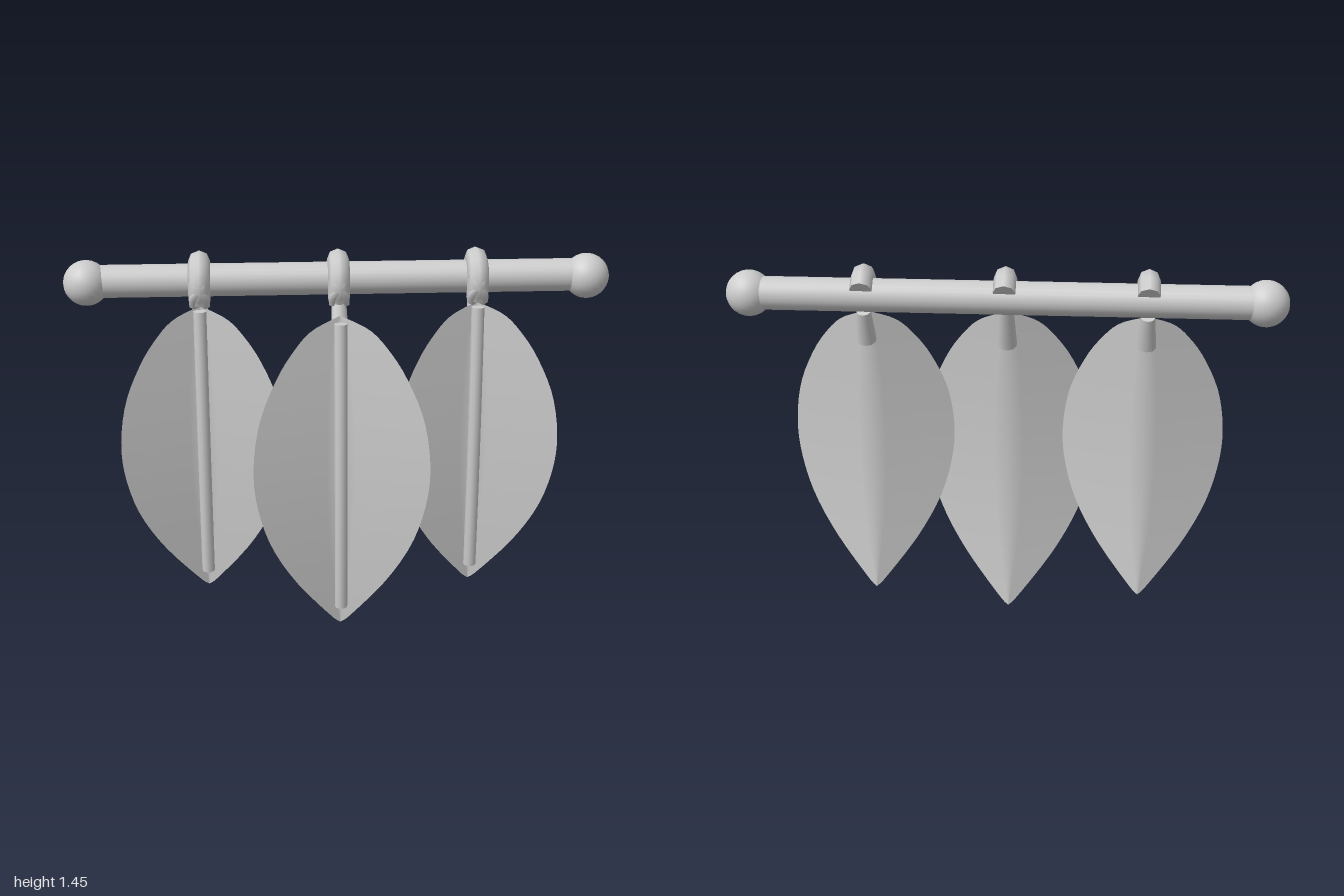
import * as THREE from 'three';

const grey = new THREE.MeshStandardMaterial({ color: 0xcccccc });
grey.name = 'pale grey';
const sheet = new THREE.MeshStandardMaterial({ color: 0xcccccc, side: THREE.DoubleSide });
sheet.name = 'pale grey leaf';

const ROD_Y = 1.34, ROD_Z = -0.1;
const V = (x, y, z) => new THREE.Vector3(x, y, z);

function add(parent, name, geometry, material = grey) {
  const mesh = new THREE.Mesh(geometry, material);
  mesh.name = name;
  parent.add(mesh);
  return mesh;
}

// Straight cylinder between two points
function strut(parent, name, a, b, rTop, rBottom, sides = 10) {
  const mesh = add(parent, name, new THREE.CylinderGeometry(rTop, rBottom, a.distanceTo(b), sides));
  mesh.position.copy(a).add(b).multiplyScalar(0.5);
  mesh.quaternion.setFromUnitVectors(V(0, 1, 0), a.clone().sub(b).normalize());
  return mesh;
}

// Tube with both ends closed
function rope(parent, name, points, radius, segments = 20, sides = 8) {
  const curve = new THREE.CatmullRomCurve3(points);
  add(parent, name, new THREE.TubeGeometry(curve, segments, radius, sides));
  for (const t of [0, 1]) {
    const cap = add(parent, name + 'Cap', new THREE.CircleGeometry(radius, sides));
    cap.position.copy(curve.getPoint(t));
    cap.quaternion.setFromUnitVectors(V(0, 0, 1), curve.getTangent(t).multiplyScalar(t ? 1 : -1));
  }
}

// Leaf half width along its length, tip to top
const outline = new THREE.SplineCurve([
  [0, 0], [0.03, 0.12], [0.17, 0.53], [0.31, 0.82], [0.45, 0.97], [0.575, 1],
  [0.71, 0.92], [0.83, 0.73], [0.91, 0.53], [0.965, 0.32], [1, 0],
].map(([t, w]) => new THREE.Vector2(t, w)));

// Folded leaf: a V section whose edges reach forward
function leafGeometry({ bottom, top, half, fold, mid }) {
  const rows = 36, cols = 12;
  const geometry = new THREE.PlaneGeometry(2, 1, cols, rows);
  const p = geometry.attributes.position;
  for (let i = 0; i < p.count; i++) {
    const c = outline.getPoint(p.getY(i) + 0.5);
    const x = p.getX(i) * half * Math.max(c.y, 0);
    p.setXYZ(i, x, bottom + (top - bottom) * c.x, mid(c.x) + fold * Math.abs(x));
  }
  geometry.computeVertexNormals();
  return geometry;
}

function createPendant(name, x, leaf, stemTop, stemBottom) {
  const group = new THREE.Group();
  group.name = name;
  group.position.x = x;
  add(group, 'leaf', leafGeometry(leaf), sheet);

  // Midrib lying in the fold
  const ribPoints = [];
  for (let i = 0; i <= 6; i++) {
    const y = THREE.MathUtils.lerp(leaf.ribBottom, leaf.ribTop, i / 6);
    const t = (y - leaf.bottom) / (leaf.top - leaf.bottom);
    ribPoints.push(V(0, y, leaf.mid(t) + 0.035));
  }
  rope(group, 'midrib', ribPoints, 0.024, 24, 10);

  // Loop hooked over the rod
  rope(group, 'loop', [
    V(0, 1.375, -0.158), V(0, 1.412, -0.105), V(0, 1.385, -0.04),
    V(0, 1.33, -0.022), V(0, 1.28, -0.04),
  ], 0.04, 10, 8);

  // Crossed strands of the knot
  for (const s of [-1, 1]) {
    rope(group, 'knotStrand', [
      V(s * 0.02, 1.37, -0.025), V(s * 0.006, 1.335, -0.004), V(-s * 0.018, 1.3, -0.012), V(-s * 0.02, 1.265, -0.035),
    ], 0.02, 10, 6);
  }

  // Stem between knot and leaf
  strut(group, 'stem', stemTop, stemBottom, 0.026, 0.036);
  return group;
}

export function createModel() {
  const model = new THREE.Group();
  model.name = 'leafHanging';

  // Rod with ball ends
  strut(model, 'rod', V(0.9, ROD_Y, ROD_Z - 0.003), V(-0.9, ROD_Y, ROD_Z - 0.003), 0.06, 0.06, 24);
  for (const s of [-1, 1]) {
    add(model, 'rodEnd', new THREE.SphereGeometry(0.083, 24, 16)).position.set(s * 0.917, ROD_Y - 0.003, ROD_Z + 0.003);
  }

  // Outer pendants
  const outer = {
    bottom: 0.13, top: 1.26, half: 0.3, fold: 0.36, ribBottom: 0.21, ribTop: 1.25,
    mid: t => -0.042 + 0.016 * Math.sin(Math.PI * t),
  };
  for (const s of [-1, 1]) {
    model.add(createPendant(s > 0 ? 'leftPendant' : 'rightPendant', s * 0.506, outer,
      V(0, 1.28, -0.105), V(0, 1.155, -0.058)));
  }

  // Middle pendant, longer and further forward
  const middle = {
    bottom: 0.005, top: 1.24, half: 0.323, fold: 0.33, ribBottom: 0.095, ribTop: 1.22,
    mid: t => 0.065 - 0.025 * t * t + 0.018 * Math.sin(Math.PI * t),
  };
  model.add(createPendant('middlePendant', 0, middle, V(0, 1.29, -0.045), V(0, 1.12, 0.025)));
  return model;
}
